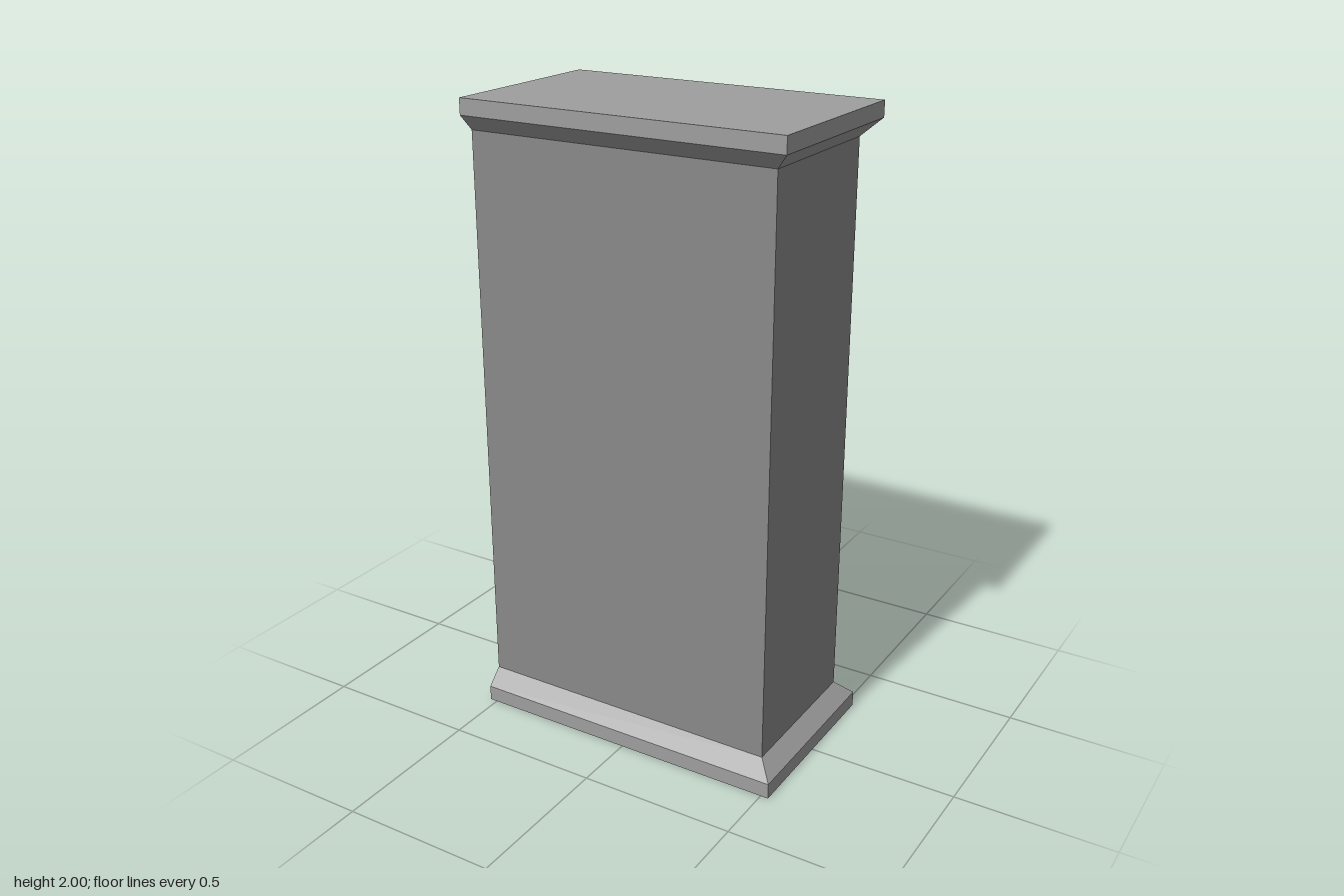
import * as THREE from 'three';

const trimMaterial = new THREE.MeshStandardMaterial({ color: 0x9e9e9e, flatShading: true });
const shaftMaterial = new THREE.MeshStandardMaterial({ color: 0x898989, flatShading: true });
const FLUSH_X = -0.525; // plain end that sits against a wall

// Skin of a rectangular block through [y, right edge x, half depth] sections, listed bottom to top.
// Ends that meet another part stay open.
function loft(name, material, sections, { bottom = false, top = false } = {}) {
  const rings = sections.map(([y, x, z]) => [
    [FLUSH_X, y, z], [x, y, z], [x, y, -z], [FLUSH_X, y, -z],
  ]);
  const positions = [];
  const quad = (a, b, c, d) => positions.push(...a, ...b, ...c, ...a, ...c, ...d);

  for (let i = 0; i < rings.length - 1; i++) {
    const lower = rings[i], upper = rings[i + 1];
    for (let k = 0; k < 4; k++) {
      const n = (k + 1) % 4;
      quad(lower[k], lower[n], upper[n], upper[k]);
    }
  }
  if (bottom) quad(...[...rings[0]].reverse());
  if (top) quad(...rings[rings.length - 1]);

  const geometry = new THREE.BufferGeometry();
  geometry.setAttribute('position', new THREE.Float32BufferAttribute(positions, 3));
  geometry.computeVertexNormals();
  const mesh = new THREE.Mesh(geometry, material);
  mesh.name = name;
  return mesh;
}

export function createModel() {
  const group = new THREE.Group();
  group.name = 'wallPier';

  const wide = [0.525, 0.3];
  const narrow = [0.475, 0.25];

  // Base slab with a sloped shoulder
  group.add(loft('base', trimMaterial, [[0, ...wide], [0.05, ...wide], [0.1, ...narrow]], { bottom: true }));
  // Plain, slightly darker shaft
  group.add(loft('shaft', shaftMaterial, [[0.1, ...narrow], [1.9, ...narrow]]));
  // Capping slab, mirroring the base
  group.add(loft('cap', trimMaterial, [[1.9, ...narrow], [1.95, ...wide], [2, ...wide]], { top: true }));

  return group;
}
